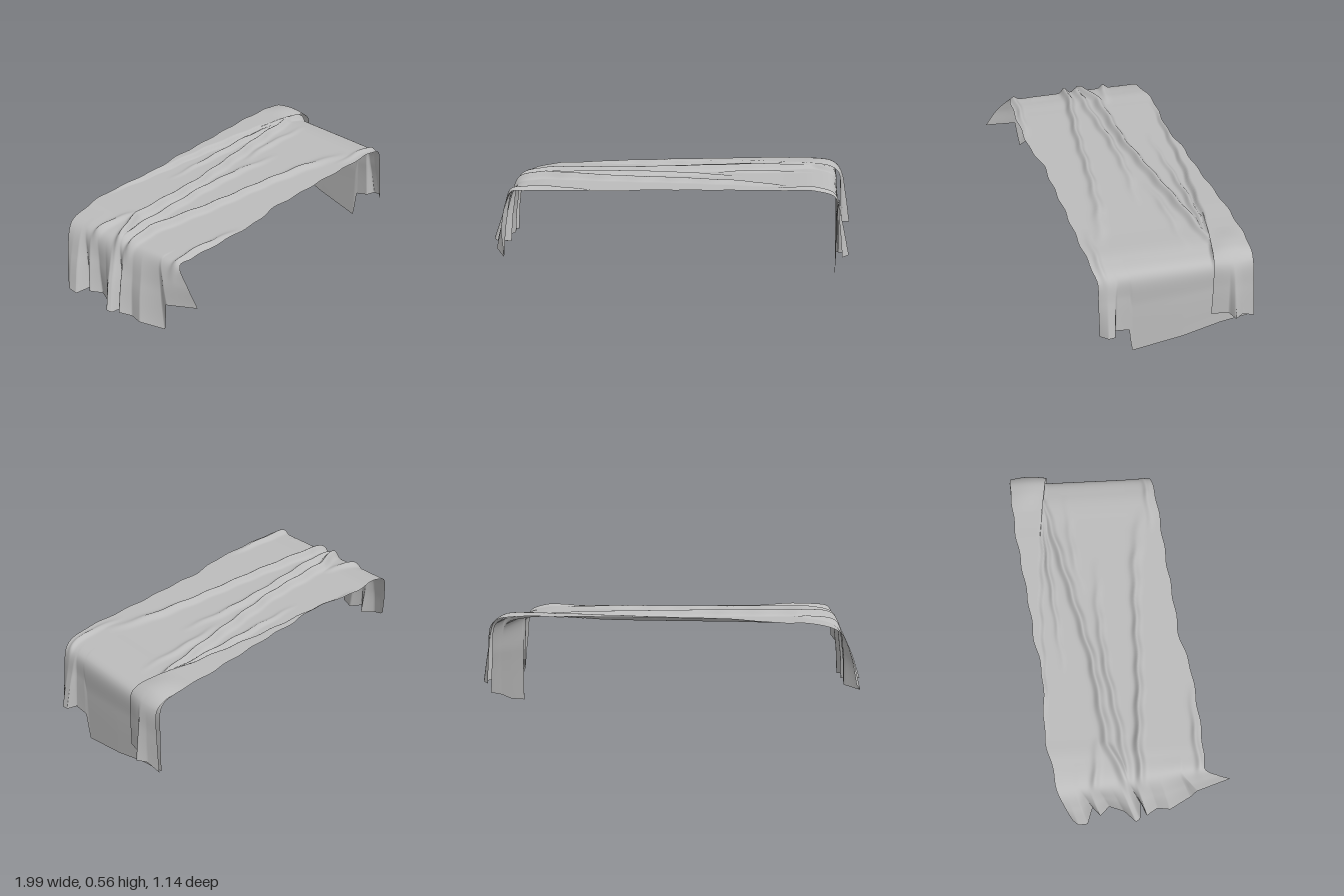
import * as THREE from 'three';

const V = (x, y, z) => new THREE.Vector3(x, y, z);
const smooth = THREE.MathUtils.smoothstep;

// Piecewise linear lookup: rows are [key, a, b, c...], returns [a, b, c...]
function lookup(rows, k) {
  let i = 0;
  while (i < rows.length - 2 && k > rows[i + 1][0]) i++;
  const a = rows[i], b = rows[i + 1];
  const f = THREE.MathUtils.clamp((k - a[0]) / (b[0] - a[0]), 0, 1);
  return a.slice(1).map((v, j) => v + (b[j + 1] - v) * f);
}

// Cloth surface: rowPoints(t) gives the curve running left to right at depth t (0 back, 1 front)
function clothGeometry(nu, nv, rowPoints, shift) {
  const g = new THREE.PlaneGeometry(1, 1, nu, nv);
  const pos = g.attributes.position;
  for (let j = 0; j <= nv; j++) {
    const curve = new THREE.CatmullRomCurve3(rowPoints(j / nv));
    for (let i = 0; i <= nu; i++) {
      const p = curve.getPoint(i / nu);
      if (shift) shift(p);
      pos.setXYZ(j * (nu + 1) + i, p.x, p.y, p.z);
    }
  }
  g.computeVertexNormals();
  return g;
}

// Hems by depth: t, x, y, z
const leftHem = [
  [0, -0.97, 0.19, -0.28], [0.06, -0.99, 0.16, -0.25], [0.12, -0.985, 0.15, -0.2],
  [0.16, -0.90, 0.17, -0.17], [0.22, -0.95, 0.18, -0.13], [0.28, -0.90, 0.17, -0.08],
  [0.36, -0.93, 0.17, 0.0], [0.43, -0.99, 0.17, 0.06], [0.46, -0.975, 0.16, 0.085],
  [0.49, -0.88, 0.16, 0.09], [0.54, -0.96, 0.17, 0.12], [0.62, -0.92, 0.16, 0.18],
  [0.70, -0.93, 0.16, 0.25], [0.84, -0.86, 0.14, 0.37], [0.85, -0.87, 0.30, 0.39],
  [1, -0.82, 0.34, 0.57],
];
const rightHem = [
  [0, 0.93, 0.155, -0.565], [0.2, 0.92, 0.115, -0.4], [0.45, 0.92, 0.055, -0.2],
  [0.785, 0.915, 0, 0.065], [0.792, 0.92, 0.15, 0.08], [0.87, 0.93, 0.165, 0.155],
  [0.885, 0.98, 0.165, 0.165], [0.94, 0.985, 0.165, 0.2], [1, 0.95, 0.16, 0.24],
];

// Outline of the flat top: x, back z, front z
const topEdges = [
  [-0.9, -0.34, 0.42], [-0.72, -0.375, 0.425], [-0.6, -0.4, 0.42], [-0.4, -0.4, 0.405],
  [-0.22, -0.405, 0.385], [-0.08, -0.435, 0.345], [0.1, -0.455, 0.33], [0.35, -0.49, 0.305],
  [0.6, -0.525, 0.285], [0.8, -0.54, 0.265], [0.92, -0.55, 0.24],
];

function sheetRow(t) {
  const top = (x, y) => {
    const [b, f] = lookup(topEdges, x);
    return V(x, y, b + (f - b) * t);
  };
  const l = V(...lookup(leftHem, t)), r = V(...lookup(rightHem, t));
  const ls = top(-0.88 + 0.08 * t, 0.475 + 0.035 * t), rs = top(0.905, 0.485);
  const lm = ls.clone().lerp(l, 0.5).add(V(-0.012, 0.015, 0));
  const rm = rs.clone().lerp(r, 0.4).add(V(0.006, 0, 0));
  return [l, lm, ls, ...[-0.72, -0.6, -0.4, -0.22, -0.08, 0.1, 0.35, 0.6, 0.8]
    .map((x) => top(x, Math.abs(x) > 0.7 ? 0.522 : 0.525)), rs, rm, r];
}

// Creases across the top: path rows of x, z, height, width
const creases = [
  [[-0.95, 0.06, 0.025, 0.02], [-0.8, -0.01, 0.04, 0.024], [-0.65, -0.075, 0.035, 0.024],
    [-0.2, -0.13, 0.035, 0.02], [0.1, -0.2, 0.035, 0.022], [0.5, -0.3, 0.035, 0.022], [0.78, -0.365, 0.02, 0.02]],
  [[-0.95, 0.1, 0.03, 0.02], [-0.7, 0.085, 0.04, 0.02], [-0.3, 0.11, 0.03, 0.018],
    [0.1, 0.115, 0.025, 0.018], [0.4, 0.13, 0.02, 0.025], [0.7, 0.18, 0, 0.03]],
  [[-0.9, 0.03, 0.02, 0.02], [-0.6, 0.0, 0.025, 0.02], [-0.2, -0.065, 0.025, 0.018],
    [0.1, -0.09, 0.015, 0.02], [0.4, -0.08, 0, 0.02]],
  [[-0.85, 0.4, 0.02, 0.02], [-0.6, 0.385, 0.02, 0.016], [-0.35, 0.385, 0, 0.02]],
  [[-0.25, -0.285, 0, 0.015], [0.1, -0.32, 0.015, 0.015], [0.4, -0.35, 0.025, 0.015], [0.8, -0.37, 0.015, 0.015]],
  [[-0.9, -0.15, 0.03, 0.02], [-0.75, -0.14, 0.015, 0.02], [-0.6, -0.12, 0, 0.02]],
  [[0.2, -0.16, 0, 0.02], [0.45, -0.21, 0.014, 0.02], [0.8, -0.24, 0, 0.02]],
  [[0.55, 0.23, 0, 0.02], [0.8, 0.22, 0.015, 0.016], [0.93, 0.2, 0.012, 0.015]],
];
const backFold = [[-0.6, -0.385, 0], [-0.3, -0.385, 0.02], [0.1, -0.395, 0.026], [0.5, -0.38, 0.032], [0.95, -0.35, 0.03]];

function addCreases(p) {
  const onTop = smooth(p.y, 0.4, 0.5);
  if (onTop === 0) return;
  let h = 0;
  for (const path of creases) {
    if (p.x < path[0][0] || p.x > path[path.length - 1][0]) continue;
    const [z, height, w] = lookup(path, p.x);
    h = Math.max(h, height * Math.exp(-(((p.z - z) / w) ** 2)));
  }
  // Doubled cloth along the back edge forms a low step
  const [fz, fh] = lookup(backFold, p.x);
  h = Math.max(h, fh * smooth(fz - p.z, -0.012, 0.012));
  // Slight waver of the cloth edges
  p.z += 0.004 * Math.sin(p.x * 31) * onTop;
  p.y += h * onTop;
}

// Pleat lying over the rear of the right-hand drop: t, x, y, z
const pleatHem = [
  [0, 0.945, 0.155, -0.567], [0.3, 0.965, 0.19, -0.5], [0.5, 1.0, 0.195, -0.455],
  [0.6, 0.955, 0.2, -0.43], [1, 0.94, 0.2, -0.34],
];
function pleatRow(t) {
  const bulge = 0.012 * Math.sin(Math.PI * t);
  const at = (x, y, back, front) => V(x, y, back + (front - back) * t);
  const hem = V(...lookup(pleatHem, t));
  const shoulder = at(0.93 + bulge, 0.505, -0.545, -0.342);
  return [
    at(0.55, 0.55, -0.515, -0.385), at(0.7, 0.558, -0.53, -0.37),
    at(0.82, 0.553 + bulge, -0.54, -0.355), at(0.89, 0.54 + bulge, -0.545, -0.347),
    shoulder, shoulder.clone().lerp(hem, 0.45).add(V(0.006, 0, 0)), hem,
  ];
}

export function createModel() {
  const group = new THREE.Group();
  group.name = 'drapedCloth';
  const cloth = new THREE.MeshStandardMaterial({ color: 0xbcbcbc, side: THREE.DoubleSide });
  cloth.name = 'greyCloth';
  const add = (name, geometry) => {
    const mesh = new THREE.Mesh(geometry, cloth);
    mesh.name = name;
    group.add(mesh);
  };
  add('clothSheet', clothGeometry(140, 160, sheetRow, addCreases));
  add('cornerPleat', clothGeometry(48, 40, pleatRow));
  return group;
}
